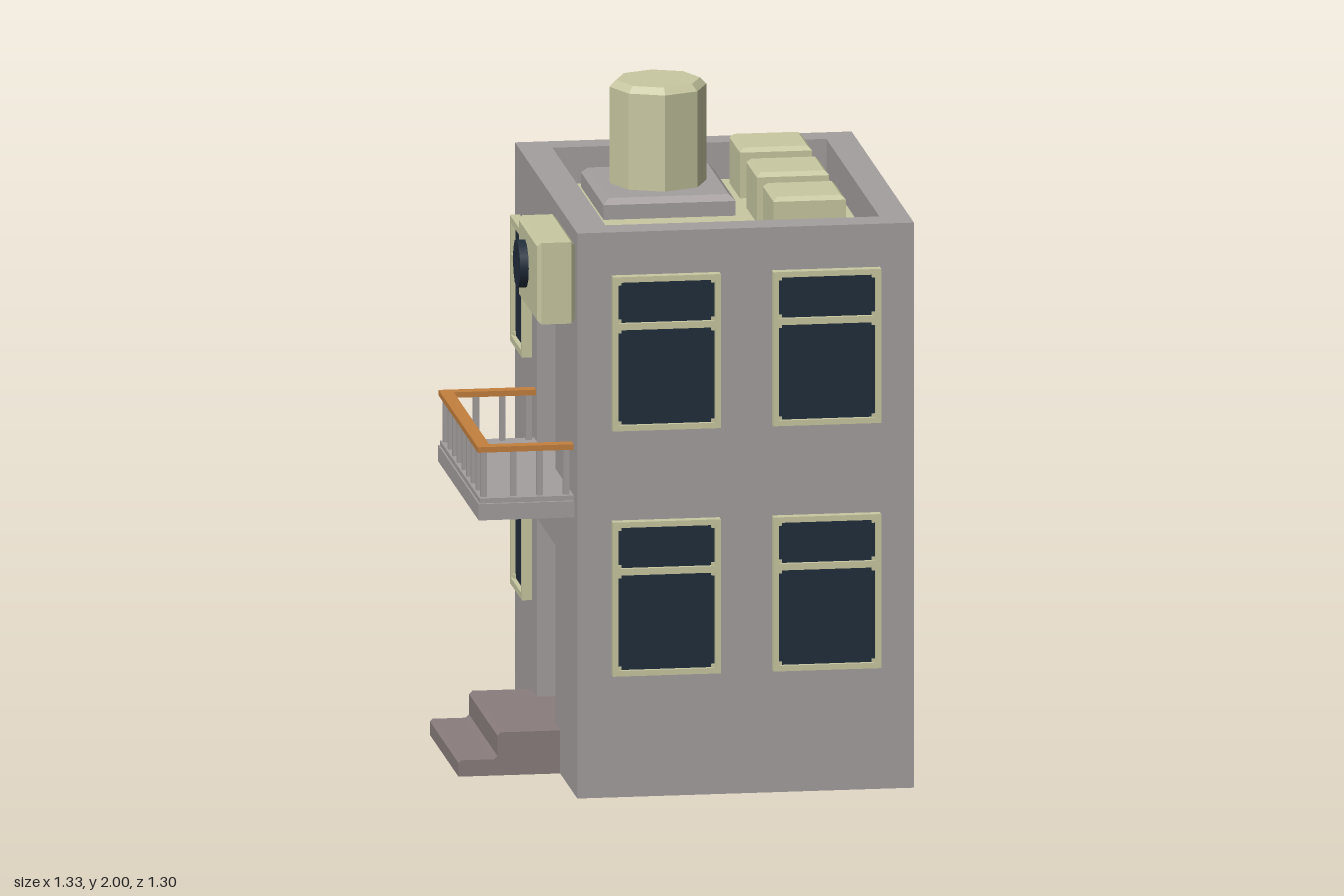
import * as THREE from 'three';

const mat = (name, color) => new THREE.MeshStandardMaterial({ name, color, side: THREE.DoubleSide });

export function createModel() {
  const wall = mat('wallGrey', 0xa59f9f), cream = mat('cream', 0xc8c8a2), glass = mat('darkGlass', 0x212d3b);
  const orange = mat('orangeWood', 0xc4803e), stone = mat('stepStone', 0x8a7d7d);
  const root = new THREE.Group();
  const X0 = -0.36, X1 = 0.66, Z0 = -0.65, Z1 = 0.62, TOP = 1.735, ROOF = 1.62;
  const BACK = -0.24; // depth of the doorway recesses

  const add = (name, geo, material, parent = root) => {
    const m = new THREE.Mesh(geo, material);
    m.name = name;
    parent.add(m);
    return m;
  };
  const box = (name, material, x0, x1, y0, y1, z0, z1, parent) => {
    const m = add(name, new THREE.BoxGeometry(x1 - x0, y1 - y0, z1 - z0), material, parent);
    m.position.set((x0 + x1) / 2, (y0 + y1) / 2, (z0 + z1) / 2);
    return m;
  };
  const trace = (p, a0, a1, b0, b1) => p.moveTo(a0, b0).lineTo(a1, b0).lineTo(a1, b1).lineTo(a0, b1).closePath();
  const rect = (a0, a1, b0, b1, holes = []) => {
    const s = trace(new THREE.Shape(), a0, a1, b0, b1);
    holes.forEach(h => s.holes.push(trace(new THREE.Path(), ...h)));
    return s;
  };
  const extrude = (shape, depth) => new THREE.ExtrudeGeometry(shape, { depth, bevelEnabled: false });
  // Block growing along +z from 0 to d with chamfered ends
  const chamferBlock = (a0, a1, b0, b1, d, c) =>
    new THREE.ExtrudeGeometry(rect(a0 + c, a1 - c, b0 + c, b1 - c), {
      depth: d - 2 * c, bevelEnabled: true, bevelSize: c, bevelThickness: c, bevelSegments: 1,
    }).translate(0, 0, c);
  // Same block standing up, given by its x, y and z ranges
  const topBlock = (name, material, x0, x1, y0, y1, z0, z1, c, parent) =>
    add(name, chamferBlock(x0, x1, -z1, -z0, y1 - y0, c).rotateX(-Math.PI / 2).translate(0, y0, 0), material, parent);

  // Outer walls, open underneath
  const house = new THREE.Group();
  house.name = 'house';
  root.add(house);
  const doors = [[0.12, 0.68], [0.91, 1.47]], DZ0 = -0.2, DZ1 = 0.175;
  add('frontWall', new THREE.ShapeGeometry(rect(X0, X1, 0, ROOF)).translate(0, 0, Z1), wall, house);
  add('backWall', new THREE.ShapeGeometry(rect(-X1, -X0, 0, ROOF)).rotateY(Math.PI).translate(0, 0, Z0), wall, house);
  add('leftWall', new THREE.ShapeGeometry(rect(-Z1, -Z0, 0, ROOF)).rotateY(Math.PI / 2).translate(X1, 0, 0), wall, house);
  add('rightWall', new THREE.ShapeGeometry(rect(Z0, Z1, 0, ROOF, doors.map(([a, b]) => [DZ0, DZ1, a, b])))
    .rotateY(-Math.PI / 2).translate(X0, 0, 0), wall, house);

  // Doorway linings and doors
  for (const [y0, y1] of doors) {
    const t = 0.004, g = new THREE.Group();
    g.name = 'doorway';
    root.add(g);
    box('jamb', wall, X0, BACK, y0, y1, DZ0 - t, DZ0, g);
    box('jamb', wall, X0, BACK, y0, y1, DZ1, DZ1 + t, g);
    box('lintel', wall, X0, BACK, y1, y1 + t, DZ0, DZ1, g);
    box('sill', wall, X0, BACK, y0 - t, y0, DZ0, DZ1, g);
    box('door', orange, BACK, BACK + t, y0, y1, DZ0, DZ1, g);
  }

  // Parapet ring and sunken roof
  add('parapet', extrude(rect(X0, X1, -Z1, -Z0, [[-0.26, 0.57, -0.52, 0.56]]), TOP - ROOF)
    .rotateX(-Math.PI / 2).translate(0, ROOF, 0), wall, house);
  box('roofFloor', cream, -0.27, 0.58, ROOF - 0.01, ROOF + 0.002, -0.57, 0.53);

  // Chimney on its plinth, and roof units
  topBlock('chimneyPlinth', wall, -0.18, 0.22, ROOF - 0.03, 1.685, -0.515, -0.055, 0.018);
  const R = 0.147;
  const profile = [[R, 1.67], [R, 1.98], [R - 0.02, 2], [0, 2]].map(p => new THREE.Vector2(...p));
  const chimney = new THREE.LatheGeometry(profile, 8).toNonIndexed();
  chimney.computeVertexNormals();
  add('chimney', chimney.translate(0.018, 0, -0.28), cream);
  for (const z of [-0.505, -0.16, 0.18])
    topBlock('roofUnit', cream, 0.268, 0.487, ROOF - 0.02, 1.775, z, z + 0.216, 0.013);

  // Windows: frame with two panes, corner pins and dark glass, built facing +z
  const makeWindow = (w, h, edge) => {
    const g = new THREE.Group();
    g.name = 'window';
    const a = w / 2 - edge, bar = h * 0.655, k = edge * 0.6;
    const panes = [[-a, a, edge, bar], [-a, a, bar + 0.02, h - edge]];
    add('frame', extrude(rect(-w / 2, w / 2, 0, h, panes), 0.03), cream, g);
    for (const [x0, x1, y0, y1] of panes) {
      box('pane', glass, x0, x1, y0, y1, 0.01, 0.016, g);
      for (const x of [x0, x1 - k]) for (const y of [y0, y1 - k])
        box('cornerPin', cream, x, x + k, y, y + k, 0.016, 0.024, g);
    }
    root.add(g);
    return g;
  };
  for (const y of [0.377, 1.13]) for (const x of [-0.093, 0.393])
    makeWindow(0.327, 0.473, 0.017).position.set(x, y, Z1);
  for (const y of [0.405, 1.15]) {
    const w = makeWindow(0.245, 0.385, 0.02);
    w.rotation.y = -Math.PI / 2;
    w.position.set(X0, y, -0.43);
  }

  // Wall-mounted cooling unit
  add('coolingUnit', chamferBlock(0.19, 0.58, 1.45, 1.7, 0.115, 0.012).rotateY(-Math.PI / 2).translate(X0, 0, 0), cream);
  const fan = add('fan', new THREE.CylinderGeometry(0.074, 0.074, 0.026, 12).rotateZ(Math.PI / 2), glass);
  fan.position.set(-0.488, 1.583, 0.33);

  // Balcony slab, posts and handrail
  const balcony = new THREE.Group();
  balcony.name = 'balcony';
  root.add(balcony);
  box('slab', wall, -0.65, X0, 0.85, 0.9, -0.265, 0.56, balcony);
  box('slabTop', wall, -0.645, X0, 0.9, 0.915, -0.26, 0.55, balcony);
  const RX = -0.63, RZ0 = -0.237, RZ1 = 0.523;
  const post = (x, z) => box('post', wall, x - 0.009, x + 0.009, 0.91, 1.056, z - 0.009, z + 0.009, balcony);
  for (let i = 0; i <= 8; i++) post(RX, RZ0 + (RZ1 - RZ0) * i / 8);
  for (const z of [RZ0, RZ1]) for (const x of [-0.54, -0.46, -0.38]) post(x, z);
  const q = 0.02;
  box('sideRail', orange, RX - q, RX + q, 1.054, 1.071, RZ0 - q, RZ1 + q, balcony);
  for (const z of [RZ0, RZ1]) box('endRail', orange, RX + q, X0, 1.054, 1.071, z - q, z + q, balcony);

  // Entrance steps from a stepped side profile
  const steps = new THREE.Shape([
    [-0.23, 0], [-0.23, 0.132], [-0.54, 0.132], [-0.55, 0.122], [-0.55, 0.06], [-0.56, 0.05],
    [-0.66, 0.05], [-0.668, 0.042], [-0.668, 0],
  ].map(p => new THREE.Vector2(...p)));
  add('entranceSteps', extrude(steps, 0.58).translate(0, 0, -0.31), stone);

  return root;
}
